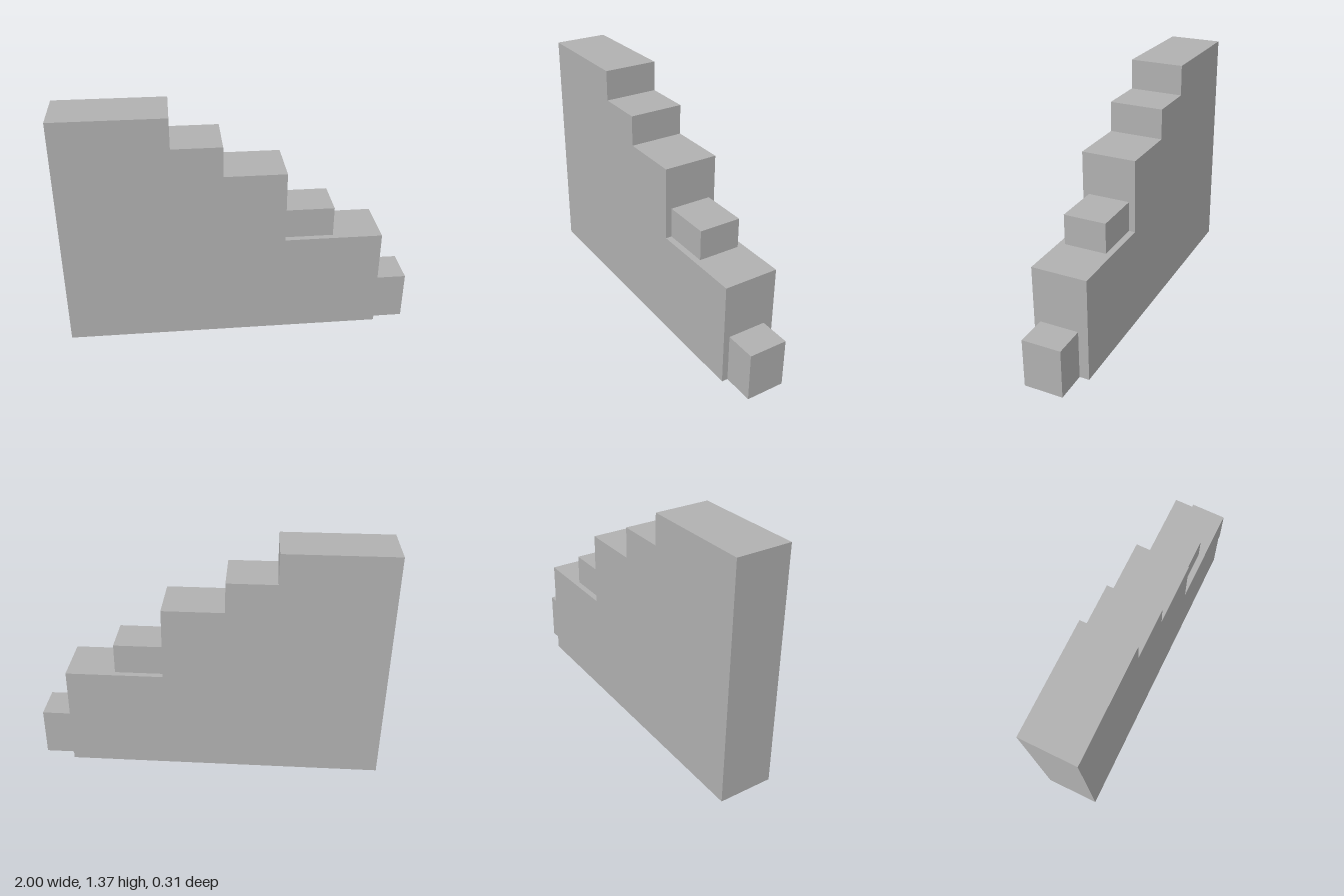
import * as THREE from 'three';

export function createModel() {
  const model = new THREE.Group();
  model.name = 'steppedWall';
  const stone = new THREE.MeshStandardMaterial({ color: 0xb0b0b0 });
  stone.name = 'grey stone';

  // Stepped wall: one side profile, extruded across the thickness
  const depth = 0.315;
  const profile = new THREE.Shape([
    [-1, 0], [0.82, 0], [0.82, 0.6], [0.26, 0.6], [0.26, 1.02],
    [-0.09, 1.02], [-0.09, 1.195], [-0.37, 1.195], [-0.37, 1.37], [-1, 1.37],
  ].map(([x, y]) => new THREE.Vector2(x, y)));
  const wallGeometry = new THREE.ExtrudeGeometry(profile, { depth, bevelEnabled: false });
  wallGeometry.translate(0, 0, -depth / 2);
  const wall = new THREE.Mesh(wallGeometry, stone);
  wall.name = 'wall';
  model.add(wall);

  // Loose narrower steps, given by their extents
  function addBlock(name, [x0, x1], [y0, y1], [z0, z1]) {
    const block = new THREE.Mesh(new THREE.BoxGeometry(x1 - x0, y1 - y0, z1 - z0), stone);
    block.position.set((x0 + x1) / 2, (y0 + y1) / 2, (z0 + z1) / 2);
    block.name = name;
    model.add(block);
  }
  addBlock('middleStep', [0.26, 0.54], [0.6, 0.775], [-0.122, 0.122]);
  addBlock('bottomStep', [0.82, 1], [0, 0.283], [-0.101, 0.122]);

  return model;
}
